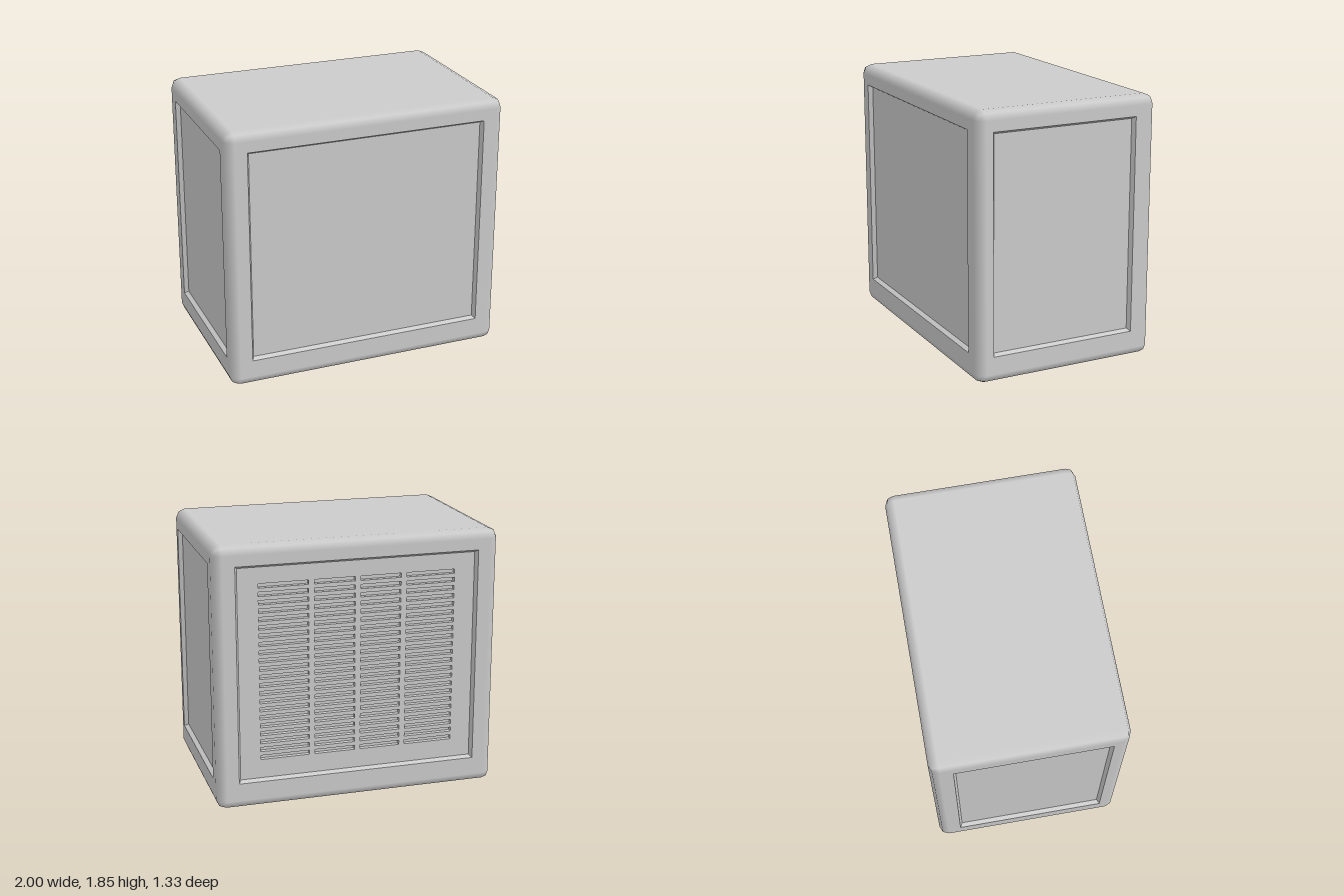
import * as THREE from 'three';
import { RoundedBoxGeometry } from 'three/addons/geometries/RoundedBoxGeometry.js';

const W = 2, H = 1.85, D = 1.33, R = 0.065;   // cabinet size and edge radius
const BOTTOM = 0.19 - H / 2, TOP = 1.71 - H / 2; // recess limits from mid height
const DEPTH = 0.03, SLOPE = 0.017;            // recess depth and wall slant

const material = new THREE.MeshStandardMaterial({ color: 0xcccccc });

function add(parent, name, geometry) {
  const mesh = new THREE.Mesh(geometry, material);
  mesh.name = name;
  parent.add(mesh);
  return mesh;
}

// Rounded box with the flat middle of its four upright faces left open
function shellGeometry() {
  const box = new RoundedBoxGeometry(W, H, D, 1, R);
  const normal = box.attributes.normal, keep = [];
  for (let i = 0; i < normal.count; i += 3) {
    const flat = [0, 1, 2].every((k) =>
      Math.abs(normal.getX(i + k)) > 0.99 || Math.abs(normal.getZ(i + k)) > 0.99);
    if (!flat) keep.push(i, i + 1, i + 2);
  }
  box.clearGroups();
  box.setIndex(keep);
  return box;
}

const rect = (x0, x1, y0, y1, z) => [[x0, y0, z], [x1, y0, z], [x1, y1, z], [x0, y1, z]];

// Skin of nested rectangles, from the outermost inward, optionally closed
function nestedRects(loops, closed) {
  const points = [];
  for (let l = 0; l < loops.length - 1; l++) {
    const a = loops[l], b = loops[l + 1];
    for (let i = 0; i < 4; i++) {
      const j = (i + 1) % 4;
      points.push(a[i], a[j], b[j], a[i], b[j], b[i]);
    }
  }
  if (closed) {
    const c = loops[loops.length - 1];
    points.push(c[0], c[1], c[2], c[0], c[2], c[3]);
  }
  const geometry = new THREE.BufferGeometry();
  geometry.setAttribute('position', new THREE.Float32BufferAttribute(points.flat(), 3));
  geometry.computeVertexNormals();
  return geometry;
}

// One upright face: flat frame, slanted recess wall and recessed floor
function facePanel(name, width, x0, x1, closed = true) {
  const group = new THREE.Group();
  group.name = name;
  const hw = width / 2 - R, hh = H / 2 - R;
  add(group, name + 'Frame', nestedRects([
    rect(-hw, hw, -hh, hh, 0),
    rect(x0, x1, BOTTOM, TOP, 0),
    rect(x0 + SLOPE, x1 - SLOPE, BOTTOM + SLOPE, TOP - SLOPE, -DEPTH),
  ], closed));
  return group;
}

const path = (Type, x0, x1, y0, y1) =>
  new Type(rect(x0, x1, y0, y1, 0).map(([x, y]) => new THREE.Vector2(x, y)));

// Back floor pierced by four columns of slots, with a plate behind them
function addVents(group) {
  const x = 0.85 - SLOPE, y0 = BOTTOM + SLOPE, y1 = TOP - SLOPE;
  const plate = path(THREE.Shape, -x, x, y0, y1);
  const columns = [[-0.69, -0.345], [-0.305, -0.02], [0.02, 0.305], [0.345, 0.69]];
  const rows = 22, slot = 0.03, low = 0.34 - H / 2, high = 1.58 - H / 2;
  for (const [a, b] of columns) {
    for (let r = 0; r < rows; r++) {
      const y = low + (high - low - slot) * r / (rows - 1);
      plate.holes.push(path(THREE.Path, a, b, y, y + slot));
    }
  }
  const thick = 0.035;
  add(group, 'ventPlate', new THREE.ExtrudeGeometry(plate, { depth: thick, bevelEnabled: false }))
    .position.z = -DEPTH - thick;
  add(group, 'ventBacking', new THREE.PlaneGeometry(1.5, 1.4)).position.z = -DEPTH - thick + 0.002;
}

export function createModel() {
  const model = new THREE.Group();
  model.name = 'cabinet';
  const body = new THREE.Group();
  body.name = 'body';
  body.position.y = H / 2;
  model.add(body);

  add(body, 'shell', shellGeometry());

  const front = facePanel('frontPanel', W, -0.85, 0.85);
  front.position.z = D / 2;

  const back = facePanel('backPanel', W, -0.85, 0.85, false);
  back.position.z = -D / 2;
  back.rotation.y = Math.PI;
  addVents(back);

  // Side recesses sit slightly toward the front
  const left = facePanel('leftPanel', D, -0.55, 0.51);
  left.position.x = W / 2;
  left.rotation.y = Math.PI / 2;

  const right = facePanel('rightPanel', D, -0.51, 0.55);
  right.position.x = -W / 2;
  right.rotation.y = -Math.PI / 2;

  body.add(front, back, left, right);
  return model;
}
